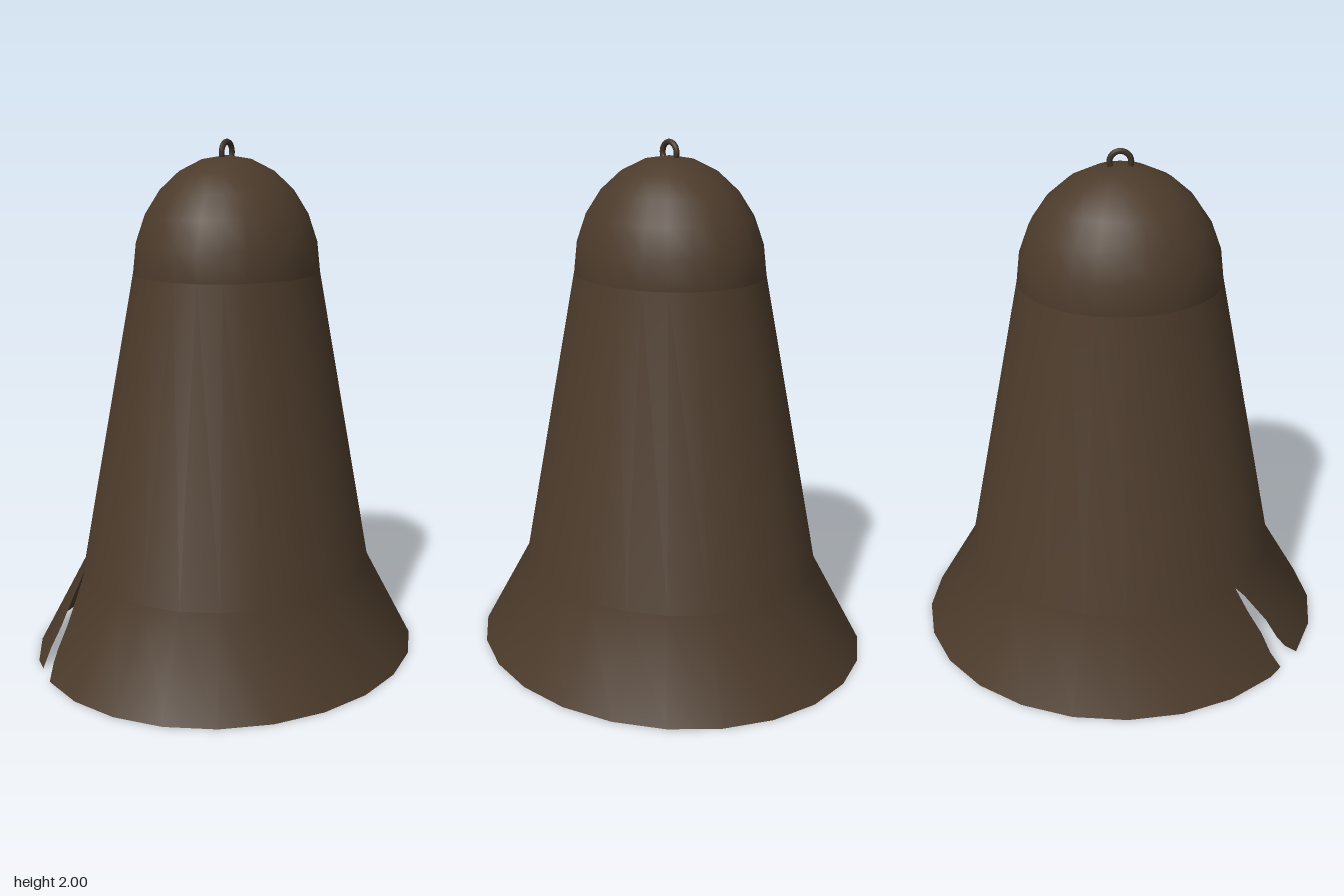
import * as THREE from 'three';

const SEGMENTS = 24;
const DEPTH = 1.105; // the bell is slightly deeper than it is wide

export function createModel() {
  const group = new THREE.Group();
  const bronze = new THREE.MeshStandardMaterial({ color: 0x4c3b2b, side: THREE.DoubleSide });
  bronze.name = 'agedBronze';
  const iron = new THREE.MeshStandardMaterial({ color: 0x3f3226 });
  iron.name = 'darkIron';

  const add = (name, geometry, material) => {
    const mesh = new THREE.Mesh(geometry, material);
    mesh.name = name;
    group.add(mesh);
    return mesh;
  };

  // Bell wall: flared skirt and tapering body, open underneath
  const profile = [[0.735, 0], [0.555, 0.35], [0.35, 1.5]].map(p => new THREE.Vector2(...p));
  const wall = new THREE.LatheGeometry(profile, SEGMENTS);
  wall.scale(1, 1, DEPTH);

  // Take out the skirt panel that holds the crack
  const panel = 21, rows = profile.length;
  const corners = [panel * rows, (panel + 1) * rows, panel * rows + 1, (panel + 1) * rows + 1];
  const index = Array.from(wall.index.array), kept = [];
  for (let i = 0; i < index.length; i += 3) {
    const tri = index.slice(i, i + 3);
    if (!tri.every(v => corners.includes(v))) kept.push(...tri);
  }
  wall.setIndex(kept);
  add('bellBody', wall, bronze);

  // Point on the panel: u runs across it, v runs up it
  const blend = (attribute, u, v) => {
    const [a, b, c, d] = corners.map(i => new THREE.Vector3().fromBufferAttribute(attribute, i));
    return a.lerp(b, u).lerp(c.lerp(d, u), v);
  };

  // Strip between two edges given as [uLeft, uRight, v]
  const strip = (name, edges) => {
    const positions = [], normals = [], faces = [];
    edges.forEach(([u0, u1, v], i) => {
      for (const u of [u0, u1]) {
        positions.push(...blend(wall.attributes.position, u, v).toArray());
        normals.push(...blend(wall.attributes.normal, u, v).normalize().toArray());
      }
      const k = i * 2;
      if (i) faces.push(k - 2, k - 1, k, k - 1, k + 1, k);
    });
    const geometry = new THREE.BufferGeometry();
    geometry.setAttribute('position', new THREE.Float32BufferAttribute(positions, 3));
    geometry.setAttribute('normal', new THREE.Float32BufferAttribute(normals, 3));
    geometry.setIndex(faces);
    add(name, geometry, bronze);
  };

  // Jagged sides of the crack, meeting at its tip
  strip('crackRightSide', [[0, 0.39, 0], [0, 0.28, 0.2], [0, 0.26, 0.43], [0, 0.12, 0.7], [0, 0, 1]]);
  strip('crackLeftSide', [[1, 1, 0], [0.77, 1, 0.14], [0.66, 1, 0.27], [0.57, 1, 0.5], [0.22, 1, 0.86], [0, 1, 1]]);

  // Rounded crown
  const dome = new THREE.SphereGeometry(1, SEGMENTS, 6, 0, Math.PI * 2, 0, Math.PI / 2);
  dome.scale(0.35, 0.44, 0.35 * DEPTH);
  dome.translate(0, 1.5, 0);
  add('crown', dome, bronze);

  // Hanging loop, its ends sunk into the crown
  const loop = new THREE.TorusGeometry(0.039, 0.011, 8, 16, Math.PI * 1.3);
  loop.rotateZ(-Math.PI * 0.15);
  loop.rotateY(Math.PI / 2);
  loop.translate(0, 1.95, 0);
  add('hangingLoop', loop, iron);

  return group;
}
